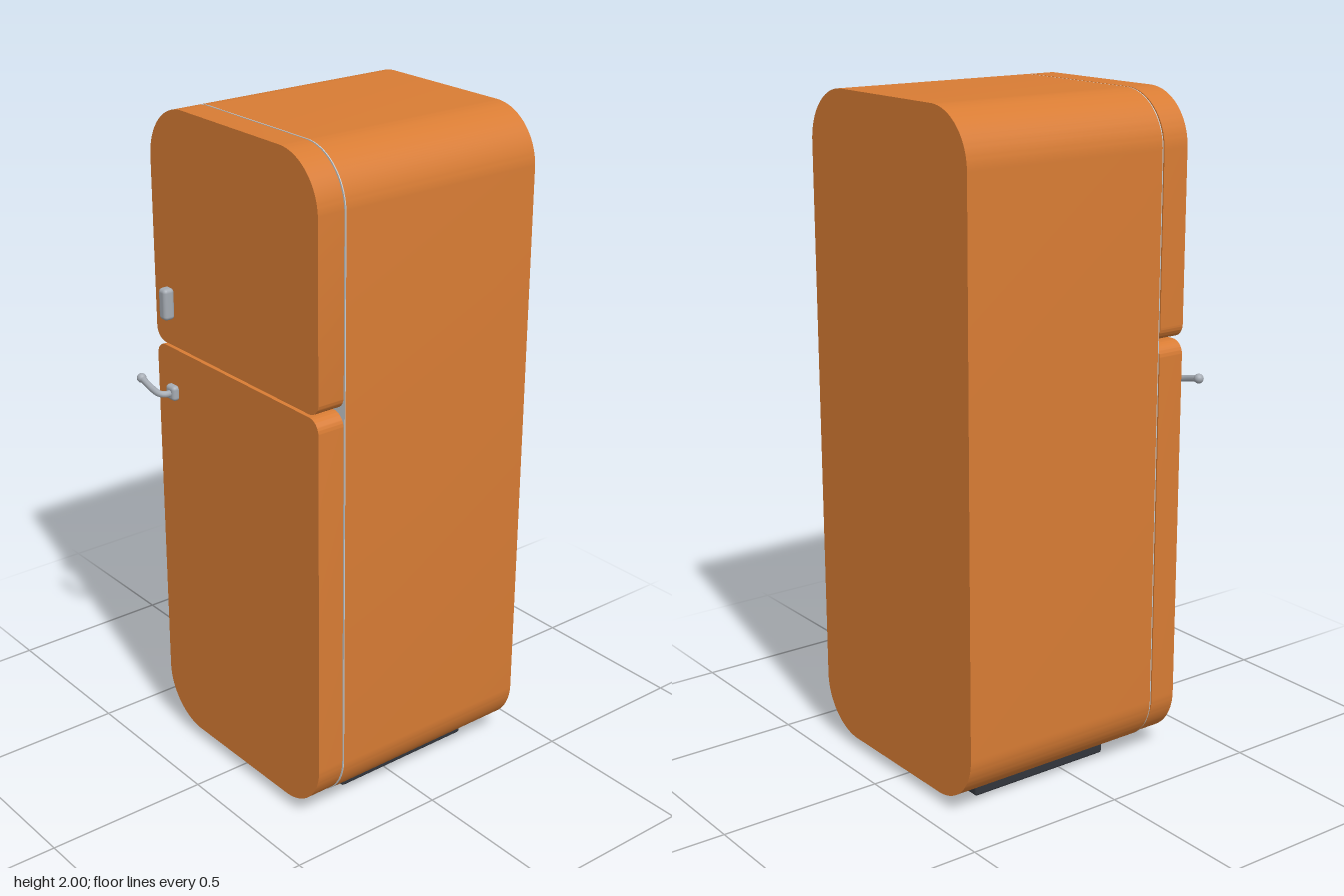
import * as THREE from 'three';
import { toCreasedNormals } from 'three/addons/utils/BufferGeometryUtils.js';
import { RoundedBoxGeometry } from 'three/addons/geometries/RoundedBoxGeometry.js';

const orange = new THREE.MeshStandardMaterial({ name: 'orange enamel', color: 0xd87c34 });
const chrome = new THREE.MeshStandardMaterial({ name: 'grey metal', color: 0xa6acb4 });
const liner = new THREE.MeshStandardMaterial({ name: 'pale liner', color: 0xc6cacd });
const dark = new THREE.MeshStandardMaterial({ name: 'dark plinth', color: 0x32353c });

const LEFT = -0.36, RIGHT = 0.395, BIG = 0.16, SMALL = 0.04;

// Rectangle with separate top and bottom corner radii
function panelShape(x0, x1, y0, y1, rTop, rBottom) {
  const s = new THREE.Shape();
  const q = Math.PI / 2;
  s.absarc(x1 - rBottom, y0 + rBottom, rBottom, -q, 0);
  s.absarc(x1 - rTop, y1 - rTop, rTop, 0, q);
  s.absarc(x0 + rTop, y1 - rTop, rTop, q, 2 * q);
  s.absarc(x0 + rBottom, y0 + rBottom, rBottom, 2 * q, 3 * q);
  s.closePath();
  return s;
}

// Panel extruded between two depths, smooth round the corners
function panel(name, material, y0, y1, z0, z1, rTop, rBottom, inset = 0) {
  const shape = panelShape(LEFT + inset, RIGHT - inset, y0 + inset, y1 - inset, rTop - inset, rBottom - inset);
  const g = new THREE.ExtrudeGeometry(shape, { depth: z1 - z0, bevelEnabled: false, curveSegments: 16 });
  g.translate(0, 0, z0);
  const m = new THREE.Mesh(toCreasedNormals(g, 0.6), material);
  m.name = name;
  return m;
}

function add(parent, name, geometry, material, x, y, z) {
  const m = new THREE.Mesh(geometry, material);
  m.name = name;
  m.position.set(x, y, z);
  parent.add(m);
  return m;
}

export function createModel() {
  const model = new THREE.Group();
  model.name = 'refrigerator';

  // Cabinet and the pale frame behind the doors
  model.add(panel('cabinet', orange, 0.03, 2, -0.41, 0.253, BIG, BIG));
  model.add(panel('frontFrame', liner, 0.03, 2, 0.253, 0.256, BIG, BIG));

  // Doors, each on a narrow recessed seal
  const doors = [
    ['freezerDoor', 1.297, 2, BIG, SMALL],
    ['mainDoor', 0.034, 1.288, SMALL, BIG],
  ];
  for (const [name, y0, y1, rTop, rBottom] of doors) {
    model.add(panel(name, orange, y0, y1, 0.26, 0.345, rTop, rBottom));
    model.add(panel(name + 'Seal', orange, y0, y1, 0.256, 0.26, rTop, rBottom, 0.011));
  }

  // Plinth
  add(model, 'plinth', new RoundedBoxGeometry(0.525, 0.04, 0.475, 2, 0.008), dark, 0.0175, 0.02, -0.0725);

  // Upright grip on the freezer door
  add(model, 'freezerHandle', new RoundedBoxGeometry(0.036, 0.095, 0.036, 3, 0.012), chrome, -0.282, 1.428, 0.361);

  // Lever handle on the main door
  const lever = new THREE.Group();
  lever.name = 'leverHandle';
  add(lever, 'leverPlate', new RoundedBoxGeometry(0.044, 0.046, 0.026, 3, 0.011), chrome, -0.28, 1.153, 0.352);
  const path = new THREE.CatmullRomCurve3([
    [-0.279, 1.153, 0.35], [-0.279, 1.153, 0.378], [-0.29, 1.155, 0.392],
    [-0.32, 1.16, 0.395], [-0.35, 1.167, 0.394], [-0.385, 1.174, 0.391],
  ].map((p) => new THREE.Vector3(...p)));
  add(lever, 'leverRod', new THREE.TubeGeometry(path, 24, 0.01, 10), chrome, 0, 0, 0);
  add(lever, 'leverKnob', new THREE.SphereGeometry(0.0145, 16, 12), chrome, -0.384, 1.174, 0.391);
  model.add(lever);

  return model;
}
